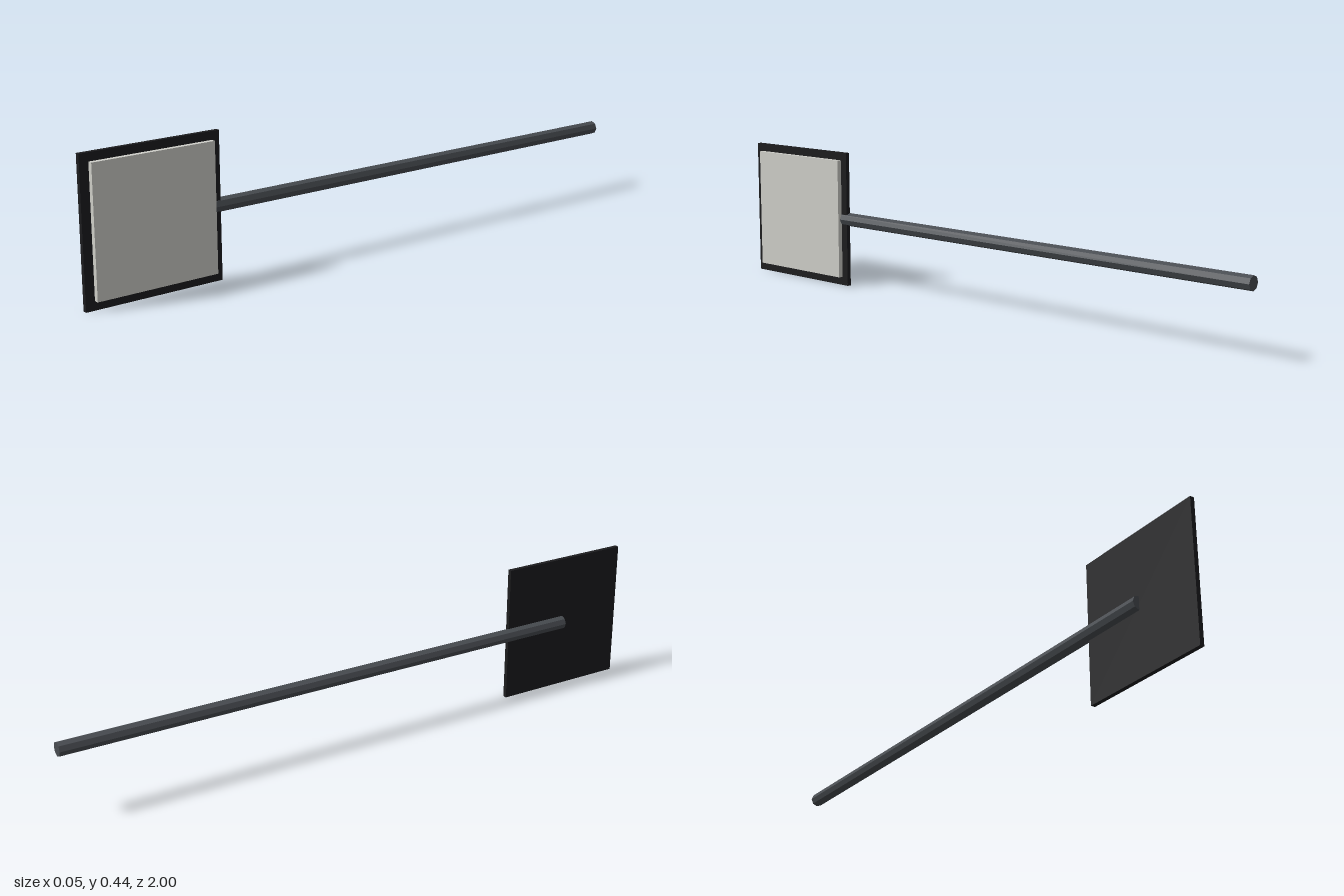
import * as THREE from 'three';

export function createModel() {
  const model = new THREE.Group();
  const midY = 0.2225;

  const add = (name, geometry, color, x, y, z) => {
    const material = new THREE.MeshStandardMaterial({ color, flatShading: true });
    const mesh = new THREE.Mesh(geometry, material);
    mesh.name = name;
    mesh.position.set(x, y, z);
    model.add(mesh);
    return mesh;
  };

  // Dark square backing plate, its face towards +x
  add('backingPlate', new THREE.BoxGeometry(0.014, 0.445, 0.445), 0x1c1c1e, 0.003, midY, 0.7775);

  // Pale raised panel on the plate
  add('facePanel', new THREE.BoxGeometry(0.016, 0.392, 0.392), 0xcfcfc9, 0.0175, midY + 0.001, 0.7755);

  // Eight-sided handle, running from behind the plate's centre to the back
  const handle = new THREE.CylinderGeometry(0.022, 0.022, 1.775, 8);
  handle.rotateX(Math.PI / 2);
  add('handle', handle, 0x484c51, -0.004, midY, -0.1125);

  return model;
}
